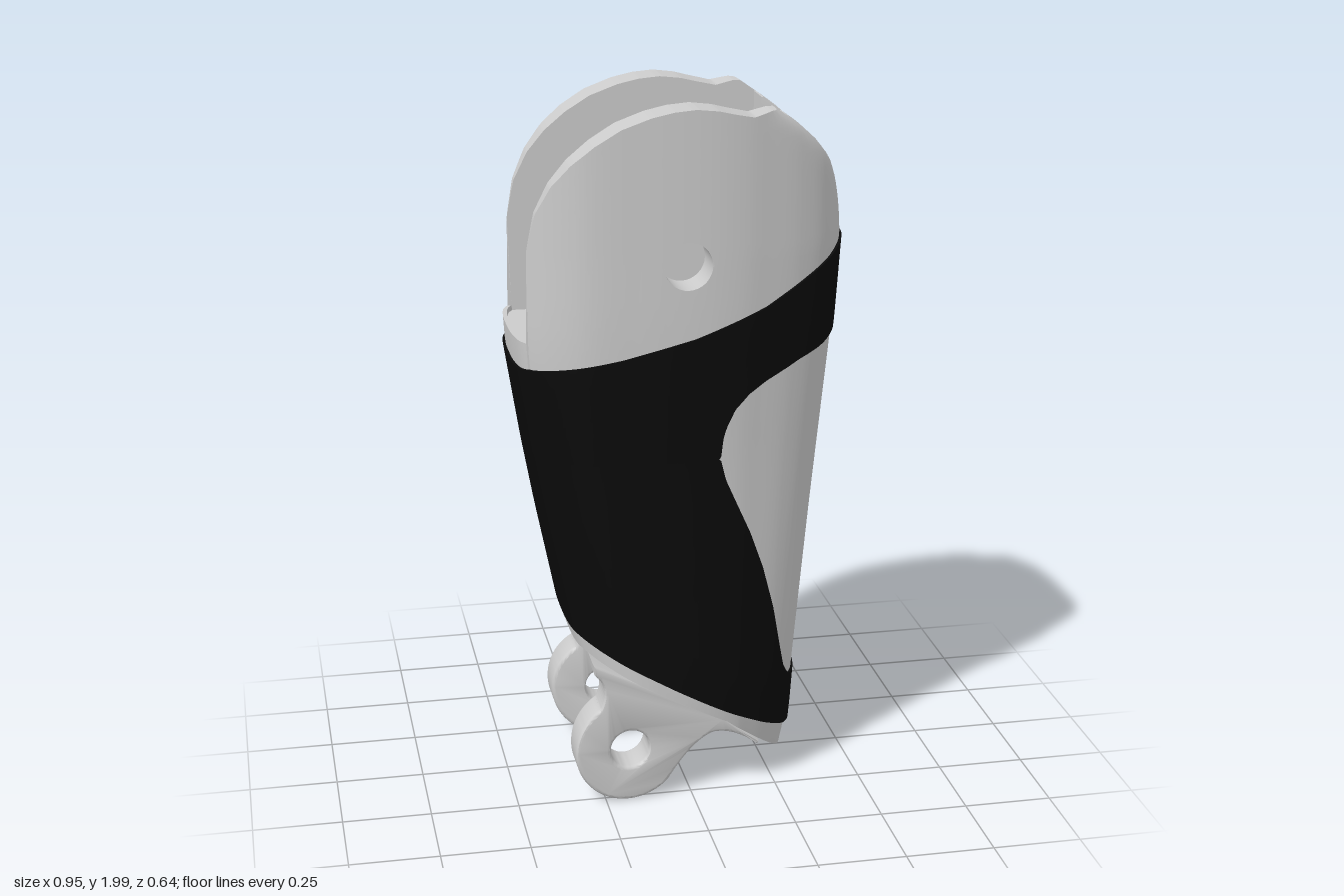
import * as THREE from 'three';
import { toCreasedNormals } from 'three/addons/utils/BufferGeometryUtils.js';

// Piecewise linear lookup through [input, output] pairs
function table(pts) {
  return (v) => {
    if (v <= pts[0][0]) return pts[0][1];
    for (let i = 1; i < pts.length; i++) {
      const [a, b] = pts[i - 1], [c, d] = pts[i];
      if (v <= c) return b + ((d - b) * (v - a)) / (c - a);
    }
    return pts[pts.length - 1][1];
  };
}

// Side limits and width of the tapering body by height
const xBack = table([[0.3, -0.28], [0.5, -0.328], [0.8, -0.388], [1.0, -0.424], [1.28, -0.468], [1.36, -0.473]]);
const xNose = table([[0.05, 0.312], [0.12, 0.332], [0.3, 0.343], [0.8, 0.392], [1.35, 0.45], [1.6, 0.468]]);
const xDome = table([[1.6, 0.52], [1.68, 0.485], [1.76, 0.45], [1.82, 0.418], [1.88, 0.362], [1.93, 0.305], [1.985, 0.225]]);
const width = table([[0.08, 0.82], [0.2, 0.93], [0.35, 0.98], [1.0, 0.97], [1.4, 1]]);

// Edge heights by x
const bodyBottom = table([[-0.3, 0.45], [0.1, 0.23], [0.31, 0.05]]);
const cheekTop = table([[-0.45, 1.5], [-0.44, 1.62], [-0.42, 1.72], [-0.38, 1.8], [-0.33, 1.86], [-0.27, 1.91], [-0.2, 1.953],
  [-0.12, 1.982], [-0.06, 1.995], [0, 2], [0.06, 1.993], [0.1, 1.983], [0.16, 1.97], [0.21, 1.982]]);
const sleeveBottom = (x) => 0.32 - 0.574 * x;
const sleeveTop = table([[-0.47, 1.28], [-0.2, 1.33], [0, 1.38], [0.2, 1.45], [0.47, 1.595]]);
const windowLow = table([[0.07, 1.03], [0.085, 0.97], [0.12, 0.89], [0.16, 0.8], [0.2, 0.69], [0.235, 0.56], [0.26, 0.43],
  [0.275, 0.36], [0.295, 0.32], [0.33, 0.3]]);
const windowHigh = table([[0.07, 1.03], [0.074, 1.08], [0.085, 1.12], [0.11, 1.17], [0.15, 1.21], [0.2, 1.24], [0.3, 1.285], [0.44, 1.33]]);

const GAP = 0.2, FLOOR = 1.345, HOLE = { x: -0.02, y: 1.58, r: 0.066 };

// Columns around the rounded contour, each with its outward direction
function makeColumns(n) {
  const half = [[-0.47, 0], [-0.467, 0.1], [-0.455, 0.17], [-0.435, 0.205], [-0.39, 0.25], [-0.3, 0.295], [-0.15, 0.311],
    [0.03, 0.311], [0.13, 0.298], [0.2, 0.278], [0.3, 0.242], [0.38, 0.192], [0.43, 0.12], [0.455, 0.05], [0.46, 0]];
  const loop = half.concat(half.slice(1, -1).reverse().map(([x, z]) => [x, -z]));
  const curve = new THREE.CatmullRomCurve3(loop.map(([x, z]) => new THREE.Vector3(x, 0, z)), true);
  curve.arcLengthDivisions = 1000;
  return Array.from({ length: n }, (_, i) => {
    const p = curve.getPointAt(i / n), t = curve.getTangentAt(i / n);
    return { p: (p.x + 0.47) / 0.93, z: p.z, nx: -t.z, nz: t.x };
  });
}

// Tapered contour blended softly into the domed top of the nose
function xAt(c, y) {
  const a = xBack(y) + c.p * (xNose(y) - xBack(y)), k = 0.025;
  return -k * Math.log(Math.exp(-a / k) + Math.exp(-xDome(y) / k));
}
const outer = (c, y, off = 0) => [xAt(c, y) + c.nx * off, y, c.z * width(y) + c.nz * off];
const isCheek = (c) => Math.abs(c.z) >= GAP;

// Inner wall of the open fork at the top
function inner(c, y) {
  const x = xAt(c, y);
  if (isCheek(c)) return [x, y, Math.sign(c.z) * GAP];
  if (c.p < 0.5) return [x + 0.012, y, c.z];
  return [Math.min(Math.abs(c.z) < 0.1 ? 0.315 : 0.27, x - 0.005), y, c.z];
}

// Height at which a column meets an edge given as y = f(x)
function meet(c, f) {
  let y = 1;
  for (let i = 0; i < 24; i++) y += 0.5 * (f(xAt(c, y)) - y);
  return y;
}

function topOf(c) {
  if (isCheek(c)) return meet(c, cheekTop);
  if (c.p < 0.5) return 1.36;
  return Math.abs(c.z) < 0.1 ? 1.905 : 1.95;
}

// Lower and upper edge of the pin hole on a column
function holeOf(c, sign) {
  const d = xAt(c, HOLE.y) - HOLE.x;
  const h = isCheek(c) && Math.abs(d) < HOLE.r ? Math.sqrt(HOLE.r ** 2 - d * d) : 0;
  return Math.min(HOLE.y + sign * h, topOf(c));
}

const rise = (lo, hi, n, f) => Array.from({ length: n + 1 }, (_, i) => f(lo + ((hi - lo) * i) / n));

// Closed surface joining the profiles of neighbouring columns
function skin(columns, profile) {
  const rows = columns.map(profile), m = rows[0].length, n = rows.length, index = [];
  for (let i = 0; i < n; i++) {
    const a = i * m, b = ((i + 1) % n) * m;
    for (let j = 0; j < m - 1; j++) index.push(a + j, b + j, b + j + 1, a + j, b + j + 1, a + j + 1);
  }
  const geo = new THREE.BufferGeometry();
  geo.setAttribute('position', new THREE.Float32BufferAttribute(rows.flat(2), 3));
  geo.setIndex(index);
  return toCreasedNormals(geo, 0.6);
}

// Hinge lug with an eye, its upper edge following the underside of the body
function lugGeometry() {
  const cx = -0.18, cy = 0.163, r = 0.158;
  const s = new THREE.Shape();
  s.moveTo(-0.285, 0.435);
  s.lineTo(-0.28, 0.4);
  s.quadraticCurveTo(-0.235, 0.36, -0.265, cy + 0.133);
  s.absarc(cx, cy, r, 2.14, 5.5, false);
  s.quadraticCurveTo(0.01, 0.17, 0.07, 0.182);
  s.quadraticCurveTo(0.13, 0.185, 0.2, 0.125);
  s.lineTo(0.205, 0.137);
  s.lineTo(0.1, 0.228);
  s.closePath();
  s.holes.push(new THREE.Path().absarc(cx, cy, 0.056, 0, Math.PI * 2, true));
  const geo = new THREE.ExtrudeGeometry(s, {
    depth: 0.088, curveSegments: 24, bevelThickness: 0.012, bevelSize: 0.01, bevelOffset: -0.01, bevelSegments: 3,
  });
  // Lean inward towards the narrowing nose
  geo.translate(-cx, 0, 0.174);
  geo.applyMatrix4(new THREE.Matrix4().makeShear(0, -0.09, 0, 0, 0, 0));
  geo.translate(cx, 0, 0);
  return toCreasedNormals(geo, 0.6);
}

export function createModel() {
  const model = new THREE.Group();
  model.name = 'fingerSegment';
  const grey = new THREE.MeshStandardMaterial({ color: 0xcccccc, side: THREE.DoubleSide });
  const black = new THREE.MeshStandardMaterial({ color: 0x0a0a0a, side: THREE.DoubleSide });
  const columns = makeColumns(400);
  const add = (name, geo, mat, parent = model) => {
    const mesh = new THREE.Mesh(geo, mat);
    mesh.name = name;
    parent.add(mesh);
    return mesh;
  };

  // Body: underside and outer wall up to the pin hole
  const body = new THREE.Group();
  body.name = 'body';
  model.add(body);
  add('lowerShell', skin(columns, (c) => {
    const lo = meet(c, bodyBottom);
    return [[xAt(c, lo), lo, 0], ...rise(lo, holeOf(c, -1), 14, (y) => outer(c, y))];
  }), grey, body);

  // Fork: outer wall above the hole, rim, and inner wall back to the hole
  add('forkShell', skin(columns, (c) => {
    const lo = holeOf(c, 1), top = topOf(c);
    return [...rise(lo, top, 16, (y) => outer(c, y)), ...rise(top, lo, 10, (y) => inner(c, y))];
  }), grey, body);

  // Inner wall below the hole and the floor of the fork
  add('forkFloor', skin(columns, (c) => {
    const floor = inner(c, FLOOR);
    return [...rise(holeOf(c, -1), FLOOR, 3, (y) => inner(c, y)), [floor[0], FLOOR, 0]];
  }), grey, body);

  // Dark sleeve, split above and below its nose window
  const sleeve = new THREE.Group();
  sleeve.name = 'sleeve';
  model.add(sleeve);
  const band = (lowEdge, highEdge) => skin(columns, (c) => {
    const lo = meet(c, lowEdge), hi = meet(c, highEdge);
    return [outer(c, lo, -0.004), ...rise(lo, hi, 10, (y) => outer(c, y, 0.007)), outer(c, hi, -0.004)];
  });
  add('sleeveLower', band(sleeveBottom, windowLow), black, sleeve);
  add('sleeveUpper', band(windowHigh, sleeveTop), black, sleeve);

  // Pin hole linings and hinge lugs on both sides
  const lug = lugGeometry();
  const lining = new THREE.CylinderGeometry(HOLE.r, HOLE.r, 0.108, 32, 1, true).rotateX(Math.PI / 2);
  for (const side of [1, -1]) {
    add(side > 0 ? 'frontLug' : 'rearLug', lug, grey).scale.z = side;
    add('pinHoleLining', lining, grey, body).position.set(HOLE.x, HOLE.y, side * 0.254);
  }
  return model;
}
